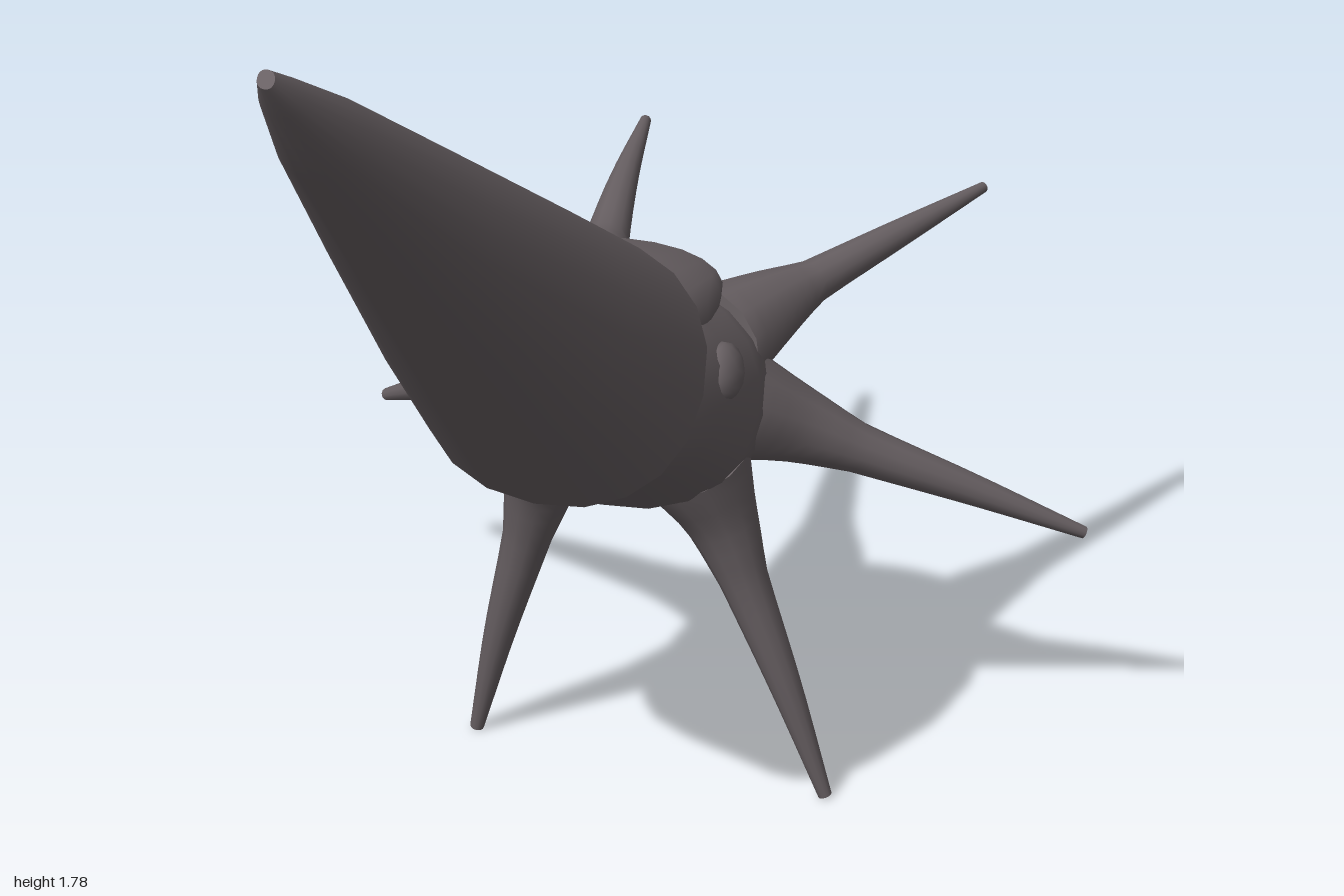
import * as THREE from 'three';

const SIDES = 20;
const V = (x, y, z) => new THREE.Vector3(x, y, z);

// Skin a list of rings; optional end caps are separate vertices so their edges stay sharp
function loft(rings, capStart, capEnd) {
  const pos = [], idx = [], n = rings[0].length;
  rings.forEach(r => r.forEach(p => pos.push(p.x, p.y, p.z)));
  for (let i = 0; i < rings.length - 1; i++) {
    for (let j = 0; j < n; j++) {
      const a = i * n + j, b = i * n + (j + 1) % n;
      idx.push(a, b, a + n, b, b + n, a + n);
    }
  }
  const cap = (ring, flip) => {
    const base = pos.length / 3, c = V(0, 0, 0);
    ring.forEach(p => { c.add(p); pos.push(p.x, p.y, p.z); });
    c.divideScalar(n);
    pos.push(c.x, c.y, c.z);
    for (let j = 0; j < n; j++) {
      const a = base + j, b = base + (j + 1) % n;
      if (flip) idx.push(b, a, base + n); else idx.push(a, b, base + n);
    }
  };
  if (capStart) cap(rings[0], true);
  if (capEnd) cap(rings[rings.length - 1], false);
  const g = new THREE.BufferGeometry();
  g.setAttribute('position', new THREE.Float32BufferAttribute(pos, 3));
  g.setIndex(idx);
  g.computeVertexNormals();
  return g;
}

// Tilted oval section: top [z, y], bottom [z, y], half width
function section([tz, ty, bz, by, w], power = 0.9) {
  const soft = v => Math.sign(v) * Math.abs(v) ** power;
  return Array.from({ length: SIDES }, (_, j) => {
    const a = j / SIDES * Math.PI * 2, c = soft(Math.cos(a)), s = soft(Math.sin(a));
    return V(w * s, (ty + by) / 2 + c * (ty - by) / 2, (tz + bz) / 2 + c * (tz - bz) / 2);
  });
}

// Tapering tube through points [x, y, z, radius]
function taper(points, sides = 12, steps = 14) {
  const curve = new THREE.CatmullRomCurve3(points.map(p => V(p[0], p[1], p[2])));
  const rings = [], last = points.length - 1;
  for (let i = 0; i <= steps; i++) {
    const t = i / steps, k = Math.min(Math.floor(t * last), last - 1), f = t * last - k;
    const r = THREE.MathUtils.lerp(points[k][3], points[k + 1][3], f);
    const c = curve.getPoint(t), d = curve.getTangent(t);
    const u = V(0.3, 0.6, -0.74).cross(d).normalize(), v = d.clone().cross(u);
    rings.push(Array.from({ length: sides }, (_, j) => {
      const a = j / sides * Math.PI * 2;
      return c.clone().addScaledVector(u, r * Math.cos(a)).addScaledVector(v, r * Math.sin(a));
    }));
  }
  return loft(rings, true, true);
}

export function createModel() {
  const model = new THREE.Group();
  model.name = 'straightShelledCephalopod';
  const grey = new THREE.MeshStandardMaterial({ color: 0x6b6366 });
  grey.name = 'warmGrey';
  const add = (name, geometry) => {
    const m = new THREE.Mesh(geometry, grey);
    m.name = name;
    model.add(m);
    return m;
  };

  // Long conical shell, apex first
  const rim = [-0.19, 0.96, 0.02, 0.62, 0.22];
  add('shell', loft([
    [0.985, 1.78, 1.0, 1.755, 0.014],
    [0.92, 1.74, 0.95, 1.685, 0.036],
    [0.75, 1.63, 0.82, 1.52, 0.074],
    [0.42, 1.395, 0.53, 1.195, 0.135],
    [0.045, 1.128, 0.22, 0.845, 0.195],
    rim,
  ].map(s => section(s)), true, false));

  // Flat lip closing the shell onto the head
  add('shellLip', loft([rim, [-0.15, 0.895, -0.02, 0.685, 0.16]].map(s => section(s))));

  // Head with a blunt end between the arms
  add('head', loft([
    [-0.10, 0.90, 0.05, 0.69, 0.18],
    [-0.18, 0.90, 0.0, 0.645, 0.195],
    [-0.28, 0.85, -0.12, 0.59, 0.205],
    [-0.38, 0.80, -0.22, 0.505, 0.212],
    [-0.46, 0.765, -0.30, 0.472, 0.195],
    [-0.505, 0.715, -0.37, 0.495, 0.145],
    [-0.50, 0.66, -0.425, 0.55, 0.07],
  ].map(s => section(s)), true, true));

  // Hood overhanging the top of the head
  add('hood', loft([
    [-0.15, 0.925, -0.10, 0.75, 0.158],
    [-0.30, 0.882, -0.22, 0.75, 0.152],
    [-0.37, 0.856, -0.27, 0.76, 0.143],
    [-0.415, 0.838, -0.31, 0.765, 0.128],
  ].map(s => section(s)), true, true));

  // Beak in the middle of the arm crown
  const beak = add('beak', new THREE.ConeGeometry(0.045, 0.11, 6));
  beak.position.set(0, 0.578, -0.494);
  beak.quaternion.setFromUnitVectors(V(0, 1, 0), V(0, -0.68, -0.74).normalize());

  // Three mirrored pairs of arms, flared at the root
  const arms = {
    upperArm: [[0.10, 0.705, -0.40, 0.085], [0.13, 0.71, -0.51, 0.058],
      [0.16, 0.713, -0.61, 0.033], [0.215, 0.713, -0.80, 0.021], [0.265, 0.707, -0.995, 0.008]],
    middleArm: [[0.13, 0.625, -0.38, 0.09], [0.20, 0.575, -0.445, 0.06],
      [0.28, 0.52, -0.505, 0.037], [0.415, 0.43, -0.61, 0.023], [0.547, 0.34, -0.71, 0.009]],
    lowerArm: [[0.11, 0.55, -0.31, 0.085], [0.14, 0.465, -0.33, 0.055],
      [0.17, 0.36, -0.347, 0.036], [0.225, 0.18, -0.375, 0.023], [0.273, 0.004, -0.403, 0.01]],
  };
  for (const [side, s] of [['Left', 1], ['Right', -1]]) {
    for (const [name, pts] of Object.entries(arms)) {
      add(name + side, taper(pts.map(([x, y, z, r]) => [s * x, y, z, r])));
    }
    // Low oval eye
    const eye = add('eye' + side, new THREE.SphereGeometry(1, 12, 8));
    eye.scale.set(0.024, 0.042, 0.05);
    eye.position.set(s * 0.187, 0.752, -0.235);
    eye.rotation.z = s * 0.3;
  }
  return model;
}
